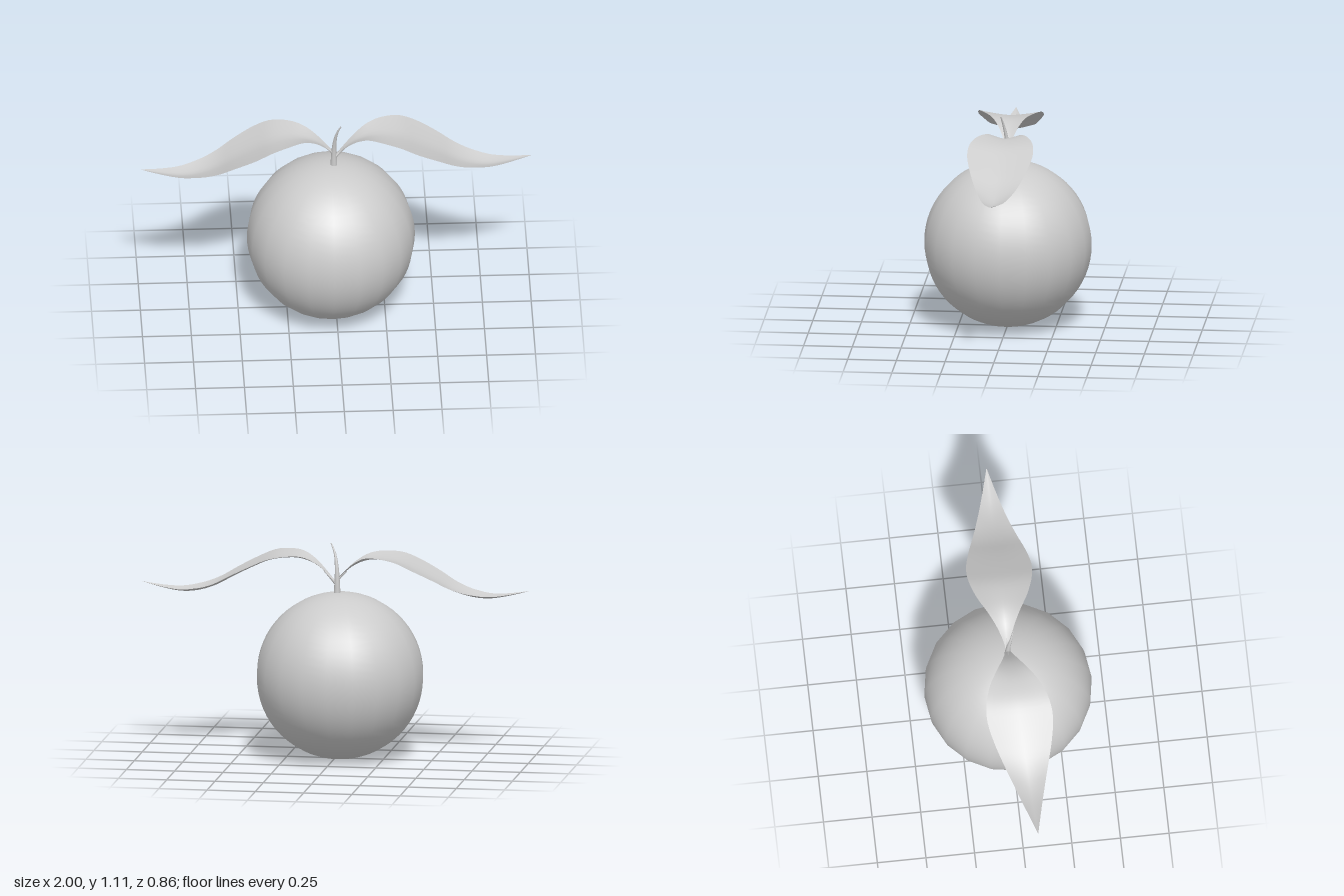
import * as THREE from 'three';

const grey = new THREE.MeshStandardMaterial({ color: 0xcccccc });
const leafGrey = new THREE.MeshStandardMaterial({ color: 0xcccccc, side: THREE.DoubleSide });

function add(group, name, geometry, material = grey) {
  const mesh = new THREE.Mesh(geometry, material);
  mesh.name = name;
  group.add(mesh);
  return mesh;
}

// Smooth curve through [distance, value] pairs
function profile(pairs) {
  return new THREE.SplineCurve(pairs.map(([d, v]) => new THREE.Vector2(d, v)));
}

// Midrib: distance from the stem and height
const midrib = profile([[0, 0.915], [0.04, 0.957], [0.1, 1.005], [0.17, 1.033], [0.24, 1.038], [0.33, 1.025],
  [0.42, 0.986], [0.52, 0.935], [0.61, 0.885], [0.7, 0.854], [0.79, 0.845], [0.89, 0.86], [1, 0.888]]);

// Half width of the blade along the same distances
const halfWidth = [[0, 0.008], [0.04, 0.02], [0.1, 0.048], [0.17, 0.088], [0.24, 0.128], [0.33, 0.16],
  [0.42, 0.168], [0.52, 0.147], [0.61, 0.118], [0.7, 0.088], [0.79, 0.06], [0.89, 0.031], [1, 0.001]];
const blade = profile(halfWidth);

// A blade bent along the midrib, with its edges lifted; skew swings the tip toward the front
function leafGeometry(side, skew) {
  const geometry = new THREE.PlaneGeometry(1, 2, 40, 8);
  const pos = geometry.attributes.position;
  for (let i = 0; i < pos.count; i++) {
    const t = pos.getX(i) + 0.5;
    const v = pos.getY(i);
    const mid = midrib.getPoint(t);
    const width = blade.getPoint(t).y;
    const lift = Math.min(0.022, width * 0.28) * Math.pow(Math.abs(v), 1.4);
    pos.setXYZ(i, side * mid.x, mid.y + lift, -side * v * width + skew * mid.x);
  }
  geometry.computeVertexNormals();
  return geometry;
}

// Tube along a curve whose radius shrinks toward its end
function taperedTube(points, r0, r1, segments = 14, sides = 10) {
  const curve = new THREE.CatmullRomCurve3(points.map((p) => new THREE.Vector3(...p)));
  const geometry = new THREE.TubeGeometry(curve, segments, 1, sides);
  const pos = geometry.attributes.position;
  const p = new THREE.Vector3();
  for (let i = 0; i < pos.count; i++) {
    const t = Math.floor(i / (sides + 1)) / segments;
    const c = curve.getPointAt(t);
    p.fromBufferAttribute(pos, i).sub(c).multiplyScalar(r0 + (r1 - r0) * t).add(c);
    pos.setXYZ(i, p.x, p.y, p.z);
  }
  geometry.computeVertexNormals();
  return geometry;
}

export function createModel() {
  const model = new THREE.Group();
  model.name = 'fruitWithLeaves';

  // Round fruit
  add(model, 'fruit', new THREE.SphereGeometry(0.43, 20, 32)).position.set(-0.025, 0.43, 0);

  // Curved stem with a pointed tip
  add(model, 'stem', taperedTube([[-0.01, 0.845, 0], [-0.01, 0.92, 0], [-0.007, 0.99, 0.006],
    [0.005, 1.06, 0.02], [0.026, 1.11, 0.032]], 0.018, 0.003));

  // Pair of leaves, the right one swung slightly forward
  add(model, 'leftLeaf', leafGeometry(1, 0), leafGrey);
  add(model, 'rightLeaf', leafGeometry(-1, 0.05), leafGrey);

  // Short stalks joining the leaves to the stem
  for (const side of [1, -1]) {
    add(model, side > 0 ? 'leftLeafStalk' : 'rightLeafStalk',
      taperedTube([[-0.01, 0.9, 0], [side * 0.015, 0.928, 0], [side * 0.06, 0.972, 0]], 0.011, 0.002, 8, 8));
  }
  return model;
}
